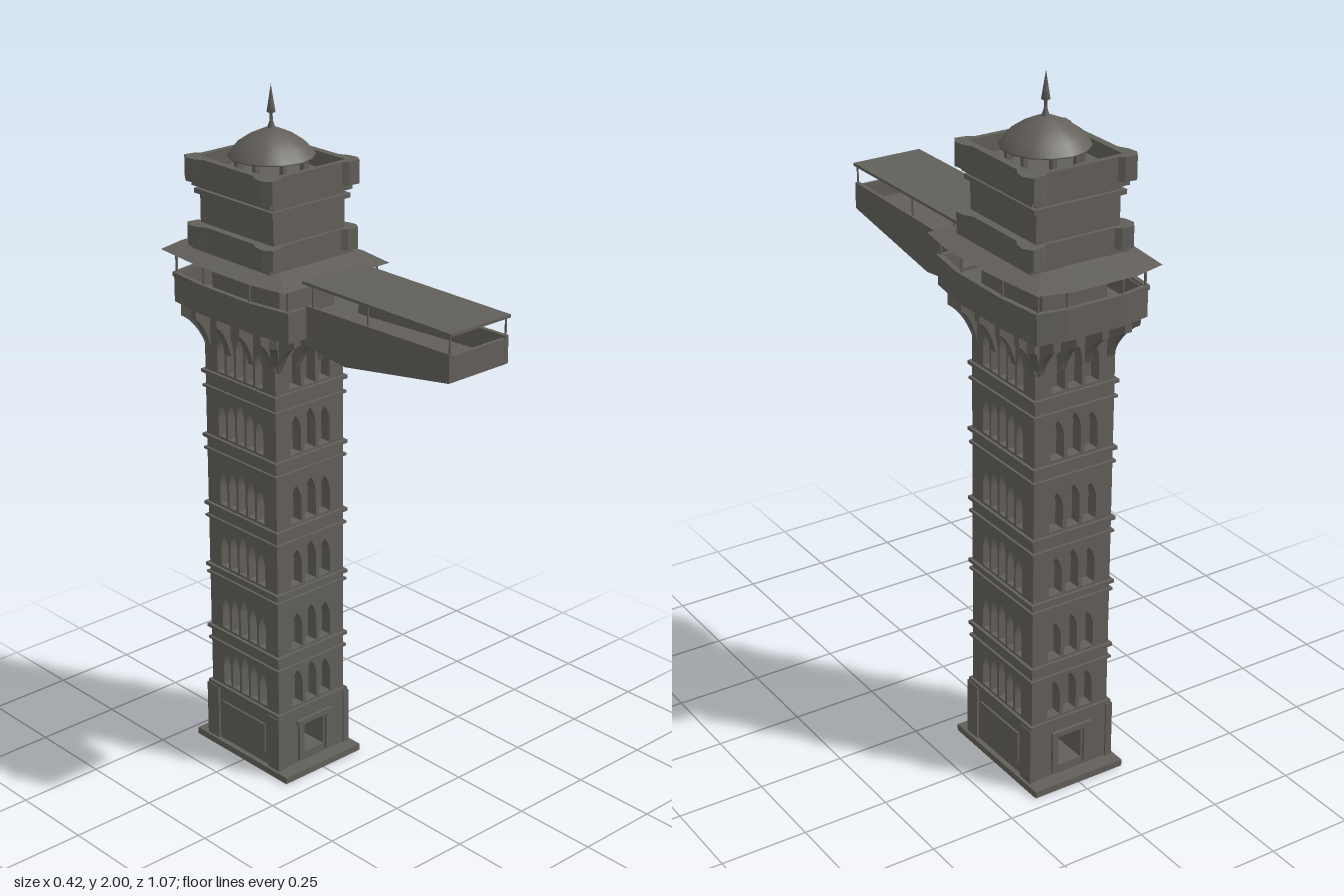
import * as THREE from 'three';

export function createModel() {
  const model = new THREE.Group();
  const stone = new THREE.MeshStandardMaterial({ color: 0x625f5a, side: THREE.DoubleSide });
  stone.name = 'grey stone';

  // Everything around the shaft is placed relative to the tower axis
  const tower = new THREE.Group();
  tower.name = 'tower';
  tower.position.z = -0.26;
  model.add(tower);

  const add = (name, geo, parent = tower) => {
    const m = new THREE.Mesh(geo, stone);
    m.name = name;
    parent.add(m);
    return m;
  };
  // Box given by width, depth and its bottom and top heights
  const block = (name, w, d, y0, y1, x = 0, z = 0, parent = tower) => {
    const m = add(name, new THREE.BoxGeometry(w, y1 - y0, d), parent);
    m.position.set(x, (y0 + y1) / 2, z);
    return m;
  };
  const extrude = (shape, depth) => new THREE.ExtrudeGeometry(shape, { depth, bevelEnabled: false });
  // Plan outline of [x, z] points raised from y0 to y1
  const toShape = (pts) => new THREE.Shape(pts.map(([x, z]) => new THREE.Vector2(x, -z)));
  const slab = (name, pts, y0, y1, hole) => {
    const shape = toShape(pts);
    if (hole) shape.holes.push(new THREE.Path(hole.map(([x, z]) => new THREE.Vector2(x, -z))));
    const g = extrude(shape, y1 - y0);
    g.rotateX(-Math.PI / 2);
    g.translate(0, y0, 0);
    return add(name, g);
  };
  const mirrorX = (half) => [...half, ...half.map(([x, z]) => [-x, z]).reverse()];

  // Plinth and base with a doorway running through
  block('plinth', 0.29, 0.4, 0, 0.02);
  const base = new THREE.Shape();
  base.moveTo(-0.13, 0.02).lineTo(0.13, 0.02).lineTo(0.13, 0.195).lineTo(-0.13, 0.195).closePath();
  const door = new THREE.Path();
  door.moveTo(-0.035, 0.045).lineTo(-0.035, 0.145).lineTo(0.04, 0.145).lineTo(0.04, 0.045).closePath();
  base.holes.push(door);
  const baseGeo = extrude(base, 0.31);
  baseGeo.translate(0, 0, -0.155);
  add('base', baseGeo);
  for (const s of [-1, 1]) {
    block('basePanel', 0.008, 0.19, 0.055, 0.15, s * 0.132, 0);
    for (const x of [-0.05, 0.055]) block('doorJamb', 0.018, 0.012, 0.03, 0.15, x, s * 0.157);
    block('doorLintel', 0.13, 0.014, 0.145, 0.16, 0, s * 0.158);
    for (const z of [-0.135, 0.135]) block('basePier', 0.02, 0.05, 0.02, 0.19, s * 0.127, z);
  }

  // Wall panel pierced by a row of pointed arches, tallest in the middle
  const arcade = (w, h, count, span, sill, archTop) => {
    const shape = new THREE.Shape();
    shape.moveTo(-w / 2, 0).lineTo(w / 2, 0).lineTo(w / 2, h).lineTo(-w / 2, h).closePath();
    const pitch = span / count, half = pitch * 0.39;
    for (let i = 0; i < count; i++) {
      const off = i - (count - 1) / 2;
      const cx = off * pitch, top = archTop - Math.abs(off) * 0.011, spring = top - 0.045;
      const p = new THREE.Path();
      p.moveTo(cx - half, sill).lineTo(cx - half, spring);
      p.quadraticCurveTo(cx - half * 0.8, top - 0.015, cx, top);
      p.quadraticCurveTo(cx + half * 0.8, top - 0.015, cx + half, spring);
      p.lineTo(cx + half, sill).closePath();
      shape.holes.push(p);
    }
    return extrude(shape, 0.035);
  };

  // Six arcaded storeys around a solid core
  block('core', 0.18, 0.225, 0.195, 1.39);
  const floors = [0.195, 0.38, 0.58, 0.775, 0.985, 1.18, 1.385];
  const bands = [0.34, 0.555, 0.735, 0.945, 1.135];
  for (let i = 0; i < 6; i++) {
    const y = floors[i], h = floors[i + 1] - y;
    const archTop = Math.min(h - 0.045, 0.135);
    for (const s of [0, 1]) {
      const front = add('frontArcade', arcade(0.25, h, 3, 0.16, 0.012, archTop));
      front.rotation.y = s * Math.PI;
      front.position.set(0, y, (s ? -1 : 1) * 0.113);
      const side = add('sideArcade', arcade(0.226, h, 5, 0.2, 0.012, archTop));
      side.rotation.y = (s ? -1 : 1) * Math.PI / 2;
      side.position.set((s ? -1 : 1) * 0.09, y, 0);
    }
    block('floorLedge', 0.268, 0.314, y - 0.005, y + 0.005);
    if (i < 5) block('bandLedge', 0.264, 0.31, bands[i] - 0.003, bands[i] + 0.004);
  }

  // Curved brackets under the balcony
  const bracket = (reach) => {
    const s = new THREE.Shape();
    s.moveTo(0, 1.25).quadraticCurveTo(reach * 0.35, 1.325, reach, 1.345);
    s.lineTo(reach, 1.39).lineTo(-0.01, 1.39).lineTo(-0.01, 1.25).closePath();
    const g = extrude(s, 0.022);
    g.translate(0, 0, -0.011);
    return g;
  };
  const placeBracket = (reach, x, z, angle) => {
    const m = add('bracket', bracket(reach));
    m.position.set(x, 0, z);
    m.rotation.y = angle;
  };
  for (const s of [-1, 1]) {
    for (const z of [-0.135, -0.047, 0.047, 0.135]) placeBracket(0.05, s * 0.124, z, s > 0 ? 0 : Math.PI);
    for (const x of [-0.11, -0.04, 0.04, 0.11]) placeBracket(0.075, x, s * 0.147, -s * Math.PI / 2);
    for (const t of [-1, 1]) placeBracket(0.07, s * 0.12, t * 0.143, Math.atan2(-t, s));
  }

  // Balcony floor, parapet open toward the bridge, and roof posts
  const rim = [[0.1, 0.25], [0.165, 0.25], [0.185, 0.12], [0.185, -0.08], [0.17, -0.22], [0.09, -0.235]];
  const inner = [[0.1, 0.235], [0.152, 0.235], [0.171, 0.12], [0.171, -0.08], [0.158, -0.208], [0.09, -0.221]];
  slab('balconyFloor', mirrorX(rim), 1.375, 1.395);
  const flip = (pts) => pts.map(([x, z]) => [-x, z]);
  slab('balconyParapet', [...rim, ...flip(rim).reverse(), ...flip(inner), ...[...inner].reverse()], 1.39, 1.455);
  slab('balconyRail', [...rim, ...flip(rim).reverse(), ...flip(inner), ...[...inner].reverse()]
    .map(([x, z]) => [x * 1.025, z * 1.01]), 1.45, 1.462);
  for (const s of [-1, 1]) {
    for (const [x, z] of [[0.16, 0.243], [0.179, 0.11], [0.179, -0.08], [0.164, -0.215], [0.085, -0.228]]) {
      block('roofPost', 0.005, 0.005, 1.455, 1.528, s * x, z);
    }
  }

  // Balcony roof, rising gently toward the tower
  const eaves = mirrorX([[0.1, 0.262], [0.19, 0.262], [0.21, 0.14], [0.21, -0.06], [0.19, -0.25], [0.095, -0.275]]);
  const roofPos = [], roofIdx = [];
  eaves.forEach(([x, z], i) => {
    roofPos.push(x, 1.524, z, x * 0.5, 1.545, z * 0.5);
    const a = 2 * i, b = 2 * ((i + 1) % eaves.length);
    roofIdx.push(a, b, b + 1, a, b + 1, a + 1);
  });
  const roof = new THREE.BufferGeometry();
  roof.setAttribute('position', new THREE.Float32BufferAttribute(roofPos, 3));
  roof.setIndex(roofIdx);
  const flatRoof = roof.toNonIndexed();
  flatRoof.computeVertexNormals();
  // Winding is turned so the front side looks up
  if (flatRoof.attributes.normal.getY(0) < 0) {
    roof.setIndex(roofIdx.slice().reverse());
    const up = roof.toNonIndexed();
    up.computeVertexNormals();
    add('balconyRoof', up);
  } else add('balconyRoof', flatRoof);

  // Upper storeys with two corner-bulged parapets
  const bulged = (w, d) => mirrorX([
    [w - 0.045, d], [w - 0.012, d + 0.005], [w + 0.004, d - 0.02], [w, d - 0.05], [w - 0.014, d - 0.075],
    [w - 0.014, 0.075 - d], [w, 0.05 - d], [w + 0.004, 0.02 - d], [w - 0.012, -d - 0.005], [w - 0.045, -d],
    [w - 0.06, 0.012 - d]]).concat([[0.06 - w, d - 0.012], [w - 0.06, d - 0.012]]);
  const rect = (w, d) => [[w, d], [w, -d], [-w, -d], [-w, d]];
  block('lookoutRoom', 0.2, 0.28, 1.39, 1.55);
  slab('lowerParapetFoot', rect(0.15, 0.16), 1.54, 1.56);
  slab('lowerParapet', bulged(0.165, 0.172), 1.553, 1.612);
  block('upperRoom', 0.255, 0.3, 1.6, 1.735);
  block('upperCornice', 0.28, 0.32, 1.695, 1.708);
  slab('upperParapetFoot', rect(0.148, 0.16), 1.718, 1.74);
  slab('upperParapet', bulged(0.167, 0.175), 1.735, 1.8, rect(0.132, 0.147));
  block('topFloor', 0.27, 0.3, 1.735, 1.755);

  // Domed cap on short posts, with a spire
  for (let i = 0; i < 8; i++) {
    const a = (i + 0.5) * Math.PI / 4;
    block('domePost', 0.014, 0.014, 1.75, 1.812, Math.cos(a) * 0.095, Math.sin(a) * 0.095);
  }
  const lathe = (pts, n) => new THREE.LatheGeometry(pts.map((p) => new THREE.Vector2(...p)), n);
  add('dome', lathe([[0, 1.806], [0.119, 1.806], [0.119, 1.81], [0.098, 1.836], [0.06, 1.862], [0.02, 1.88], [0, 1.884]], 14));
  add('spire', lathe([[0.012, 1.878], [0.005, 1.9], [0.004, 1.92], [0.012, 1.925], [0.008, 1.95], [0, 2]], 8));

  // Covered bridge reaching forward
  const bridge = new THREE.Group();
  bridge.name = 'bridge';
  model.add(bridge);
  const sideProfile = (name, pts, x, w) => {
    const g = extrude(new THREE.Shape(pts.map((p) => new THREE.Vector2(...p))), w);
    g.rotateY(-Math.PI / 2);
    g.translate(x + w / 2, 0, 0);
    add(name, g, bridge);
  };
  const keel = [[0, 1.36], [0.15, 1.342], [0.53, 1.405]];
  sideProfile('bridgeHull', [...keel, [0.53, 1.425], [0, 1.4]], -0.005, 0.19);
  for (const x of [-0.105, 0.095]) {
    sideProfile('bridgeWall', [...keel, [0.53, 1.482], [0, 1.472]], x, 0.012);
    for (const z of [0.02, 0.23, 0.525]) block('bridgePost', 0.004, 0.004, 1.47, 1.533, x, z, bridge);
  }
  block('bridgeEndPanel', 0.2, 0.01, 1.406, 1.475, -0.005, 0.524, bridge);
  block('bridgeRoof', 0.215, 0.55, 1.53, 1.538, -0.005, 0.26, bridge);

  return model;
}
